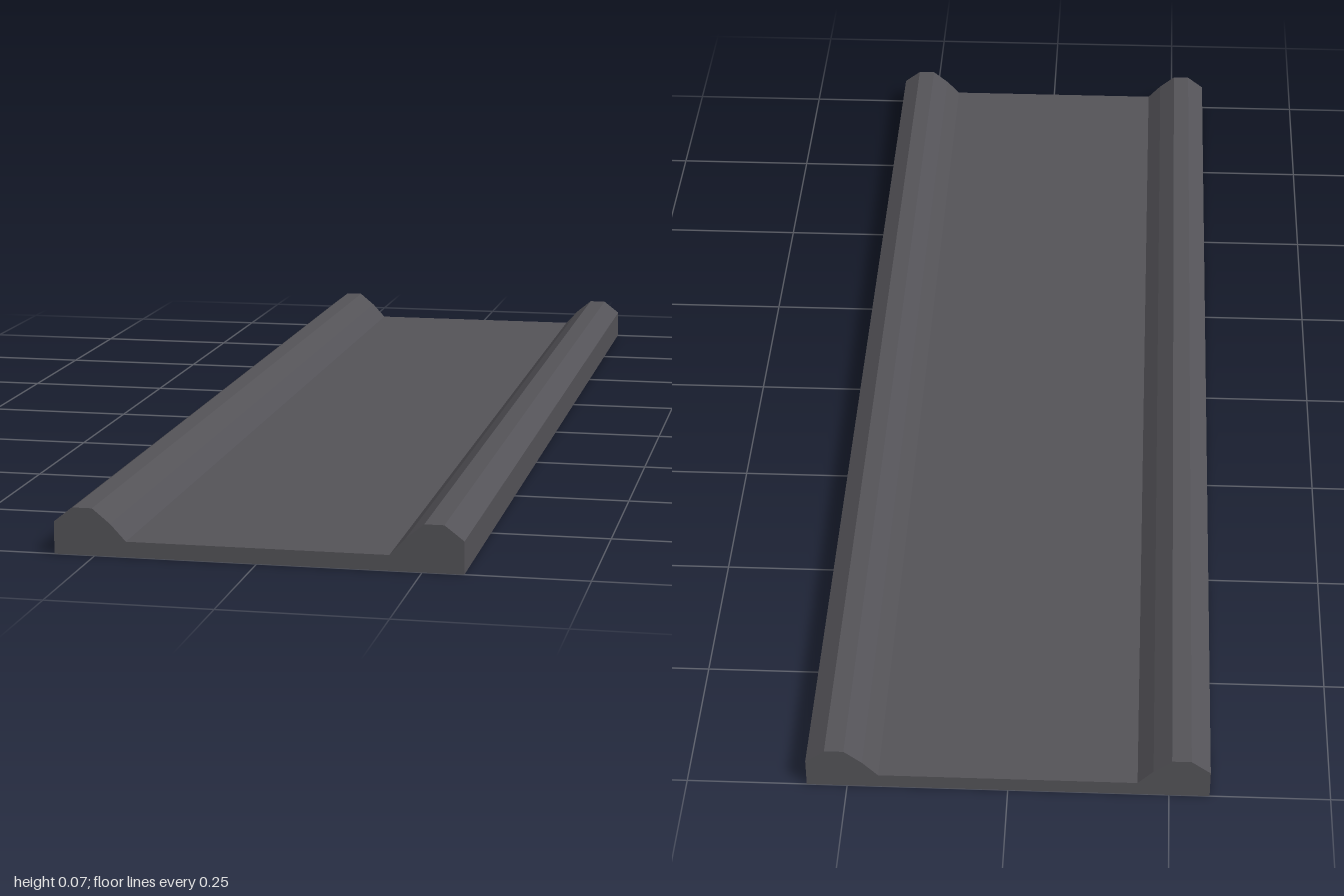
import * as THREE from 'three';

const LENGTH = 2;

// Right half of the cross-section, from the outer foot over the kerb to the roadway
const HALF_PROFILE = [
  [0.313, 0], [0.313, 0.05], [0.283, 0.073], [0.253, 0.073], [0.225, 0.05], [0.201, 0.024],
];

export function createModel() {
  const group = new THREE.Group();
  group.name = 'roadSection';

  const asphalt = new THREE.MeshStandardMaterial({ color: 0x545358 });
  asphalt.name = 'dark grey';

  // Mirror the half profile and run it along z
  const mirrored = HALF_PROFILE.map(([x, y]) => [-x, y]).reverse();
  const points = [...HALF_PROFILE, ...mirrored].map(([x, y]) => new THREE.Vector2(x, y));
  const geometry = new THREE.ExtrudeGeometry(new THREE.Shape(points), {
    depth: LENGTH, bevelEnabled: false,
  });
  geometry.translate(0, 0, -LENGTH / 2);

  const slab = new THREE.Mesh(geometry, asphalt);
  slab.name = 'slabWithKerbs';
  group.add(slab);
  return group;
}
